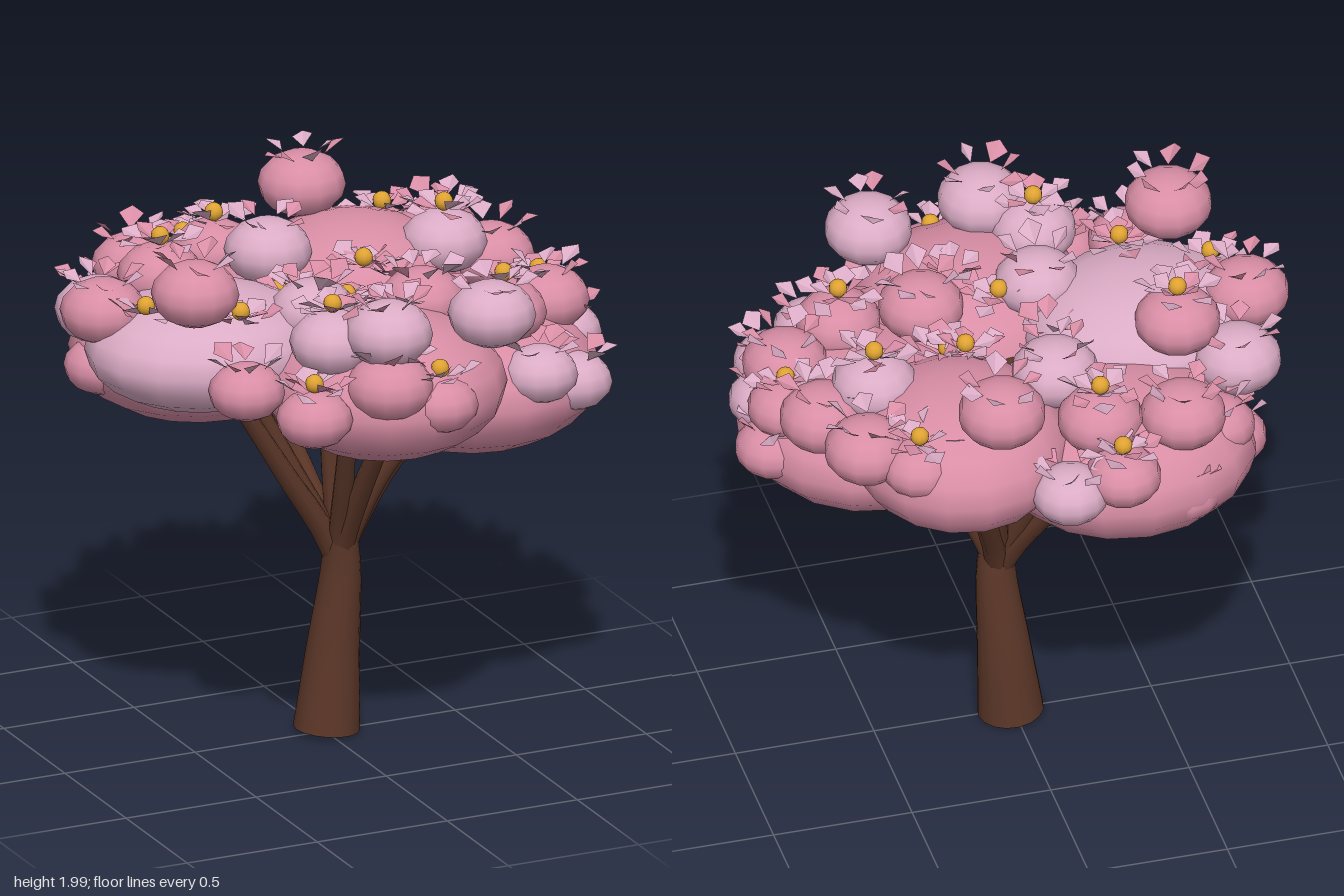
import * as THREE from 'three';

const mat = (name, color, side = THREE.FrontSide) => {
  const m = new THREE.MeshStandardMaterial({ color, side });
  m.name = name;
  return m;
};

export function createModel() {
  const tree = new THREE.Group();
  tree.name = 'blossomTree';
  const bark = mat('bark brown', 0x5e3829);
  const rose = mat('rose pink', 0xd98ea6);
  const pale = mat('pale pink', 0xdcacc6);
  const rosePetal = mat('rose petal', 0xd98ea6, THREE.DoubleSide);
  const palePetal = mat('pale petal', 0xdcacc6, THREE.DoubleSide);
  const gold = mat('gold', 0xe0a332);

  let seed = 7;
  const rand = () => (seed = (seed * 16807) % 2147483647) / 2147483647;
  const add = (name, geometry, material, parent = tree) => {
    const mesh = new THREE.Mesh(geometry, material);
    mesh.name = name;
    parent.add(mesh);
    return mesh;
  };

  // Tapered limb: a tube whose rings are scaled toward the path
  function limb(name, points, startRadius, endRadius, sides, steps) {
    const path = new THREE.CatmullRomCurve3(points.map((p) => new THREE.Vector3(...p)));
    const geo = new THREE.TubeGeometry(path, steps, 1, sides);
    const pos = geo.attributes.position;
    const v = new THREE.Vector3();
    for (let i = 0; i < pos.count; i++) {
      const t = Math.floor(i / (sides + 1)) / steps;
      const c = path.getPointAt(t);
      const r = THREE.MathUtils.lerp(startRadius, endRadius, t);
      v.fromBufferAttribute(pos, i).sub(c).multiplyScalar(r).add(c);
      pos.setXYZ(i, v.x, v.y, v.z);
    }
    add(name, geo, bark);
    // End discs
    for (const t of [0, 1]) {
      const disc = add(name + 'End', new THREE.CircleGeometry(t ? endRadius : startRadius, sides), bark);
      disc.position.copy(path.getPointAt(t));
      const dir = path.getTangentAt(t).multiplyScalar(t ? 1 : -1);
      disc.quaternion.setFromUnitVectors(new THREE.Vector3(0, 0, 1), dir);
    }
  }

  // Trunk
  limb('trunk', [[0.01, 0.01, -0.01], [0.035, 0.3, -0.01], [0.058, 0.6, 0.005], [0.05, 0.74, 0.015]],
    0.117, 0.06, 16, 15);

  // Branches fan out from the trunk top to these tips
  const tips = [
    [-0.4, 1.35, 0.08], [-0.3, 1.35, -0.05], [-0.26, 1.3, -0.4], [-0.13, 1.3, -0.3],
    [0, 1.5, -0.01], [0.27, 1.35, -0.38], [0.14, 1.4, -0.27], [0.42, 1.22, 0.12],
    [0.33, 1.22, 0.2], [0.08, 1.3, 0.4], [-0.04, 1.35, 0.3],
  ];
  for (const tip of tips) {
    const along = (k, y) => [0.05 + (tip[0] - 0.05) * k, y, tip[2] * k];
    limb('branch', [along(0, 0.62), along(0.14, 0.75), along(0.46, 0.97), tip], 0.045, 0.028, 8, 10);
  }

  // Large foliage masses: centre, radii, colour
  const masses = [
    [[-0.49, 1.53, 0.06], [0.43, 0.21, 0.38], pale],
    [[0.3, 1.48, -0.4], [0.39, 0.25, 0.41], rose],
    [[-0.29, 1.36, -0.4], [0.47, 0.26, 0.43], rose],
    [[0.03, 1.43, 0.42], [0.43, 0.25, 0.43], rose],
    [[0.5, 1.3, 0.11], [0.46, 0.26, 0.48], rose],
  ];
  const bigBall = new THREE.SphereGeometry(1, 16, 10);
  for (const [p, s, m] of masses) {
    const ball = add('foliageMass', bigBall, m);
    ball.position.set(...p);
    ball.scale.set(...s);
  }

  // Height of the canopy surface above a point
  const canopyTop = (x, z) => Math.max(1.42, ...masses.map(([p, s]) => {
    const d = 1 - ((x - p[0]) / s[0]) ** 2 - ((z - p[2]) / s[2]) ** 2;
    return d > 0 ? p[1] + s[1] * Math.sqrt(d) : 0;
  }));

  // Petal: a folded, pointed leaf shape along +z
  const petalGeo = new THREE.BufferGeometry();
  petalGeo.setAttribute('position', new THREE.Float32BufferAttribute(
    [0, 0, 0, -0.45, 0.15, 0.6, 0, 0.03, 1, 0, 0, 0, 0, 0.03, 1, 0.45, 0.15, 0.6], 3));
  petalGeo.computeVertexNormals();
  const heartGeo = new THREE.SphereGeometry(0.033, 10, 8);

  // Rings of petals around a point, with or without a gold heart
  function blossom(x, y, z, spread, heart) {
    const flower = new THREE.Group();
    flower.name = 'blossom';
    flower.position.set(x, y, z);
    tree.add(flower);
    const rings = heart ? [[6, 0.025, 0.1], [6, spread * 0.7, 0]] : [[7, spread, 0.2]];
    for (const [count, radius, lift] of rings) {
      const turn = rand() * Math.PI * 2;
      for (let i = 0; i < count; i++) {
        const a = turn + (i + rand() * 0.5) / count * Math.PI * 2;
        const petal = add('petal', petalGeo, rand() < (heart ? 0.7 : 0.5) ? palePetal : rosePetal, flower);
        petal.position.set(Math.sin(a) * radius, 0, Math.cos(a) * radius);
        petal.rotation.set(-lift - rand() * 0.55, a + (rand() - 0.5) * 0.8, (rand() - 0.5) * 0.9, 'YXZ');
        petal.scale.setScalar(0.075 + rand() * 0.025);
      }
    }
    if (heart) add('flowerHeart', heartGeo, gold, flower).position.y = 0.025;
  }

  // Small foliage puff crowned by a blossom
  const smallBall = new THREE.SphereGeometry(1, 12, 8);
  function puff(x, y, z, r, isPale, heart) {
    const ball = add('foliagePuff', smallBall, isPale ? pale : rose);
    ball.position.set(x, y, z);
    ball.scale.set(r, r * 0.75, r);
    blossom(x, y + r * (heart ? 0.78 : 0.67), z, heart ? 0.1 : r * 0.5, heart);
  }

  // Puffs resting on the masses: x, z, pale, gold heart
  const resting = [
    [-0.45, -0.6, 0, 0], [-0.16, -0.57, 0, 1], [0.66, -0.49, 0, 0], [0.56, -0.22, 1, 1],
    [0.78, 0.15, 0, 0], [0.55, 0.29, 0, 1], [0.27, 0.22, 0, 0], [-0.15, 0.22, 1, 0],
    [-0.54, -0.2, 0, 1], [-0.83, -0.05, 0, 0], [-0.22, 0.53, 1, 1],
  ];
  for (const [x, z, isPale, heart] of resting) puff(x, canopyTop(x, z) + 0.03, z, 0.152, isPale, heart);

  // Raised puffs: x, y, z, pale
  const raised = [
    [-0.65, 1.83, 0.32, 0], [0.22, 1.78, -0.66, 0], [-0.07, 1.71, 0.67, 1], [0.35, 1.7, 0.62, 1],
    [-0.06, 1.68, -0.34, 1], [-0.09, 1.53, 0.72, 0], [-0.73, 1.58, -0.3, 1], [0.75, 1.57, -0.24, 0],
  ];
  for (const [x, y, z, isPale] of raised) puff(x, y, z, 0.155, isPale, 0);

  // Low puffs around the canopy edge: x, y, z, pale, gold heart
  const rim = [
    [-0.56, 1.53, 0.55, 0, 0], [-0.36, 1.44, 0.68, 0, 1], [0.09, 1.45, 0.75, 0, 1],
    [0.59, 1.4, 0.5, 1, 0], [0.75, 1.33, 0.44, 1, 0], [0.85, 1.4, 0.14, 1, 0],
    [0.82, 1.46, 0, 0, 1], [0.87, 1.31, -0.02, 0, 0], [0.5, 1.56, -0.6, 0, 1],
    [0, 1.46, -0.76, 1, 0], [-0.19, 1.5, -0.76, 0, 1], [-0.43, 1.33, -0.67, 0, 0],
    [-0.6, 1.46, -0.5, 0, 0], [-0.67, 1.33, -0.4, 0, 0],
  ];
  for (const [x, y, z, isPale, heart] of rim) puff(x, y, z, 0.135, isPale, heart);

  // Single blossoms lying on the large masses: x, z, gold heart
  const loose = [
    [-0.75, 0.13, 1], [-0.47, 0.31, 1], [-0.1, -0.17, 1], [0.2, -0.11, 1], [0.22, 0.06, 1],
    [0, 0.18, 1], [0.13, 0.33, 0], [0.38, 0.46, 0], [-0.12, -0.03, 0], [0.3, -0.05, 0],
  ];
  for (const [x, z, heart] of loose) blossom(x, canopyTop(x, z) + 0.02, z, heart ? 0.1 : 0.04, heart);

  return tree;
}
